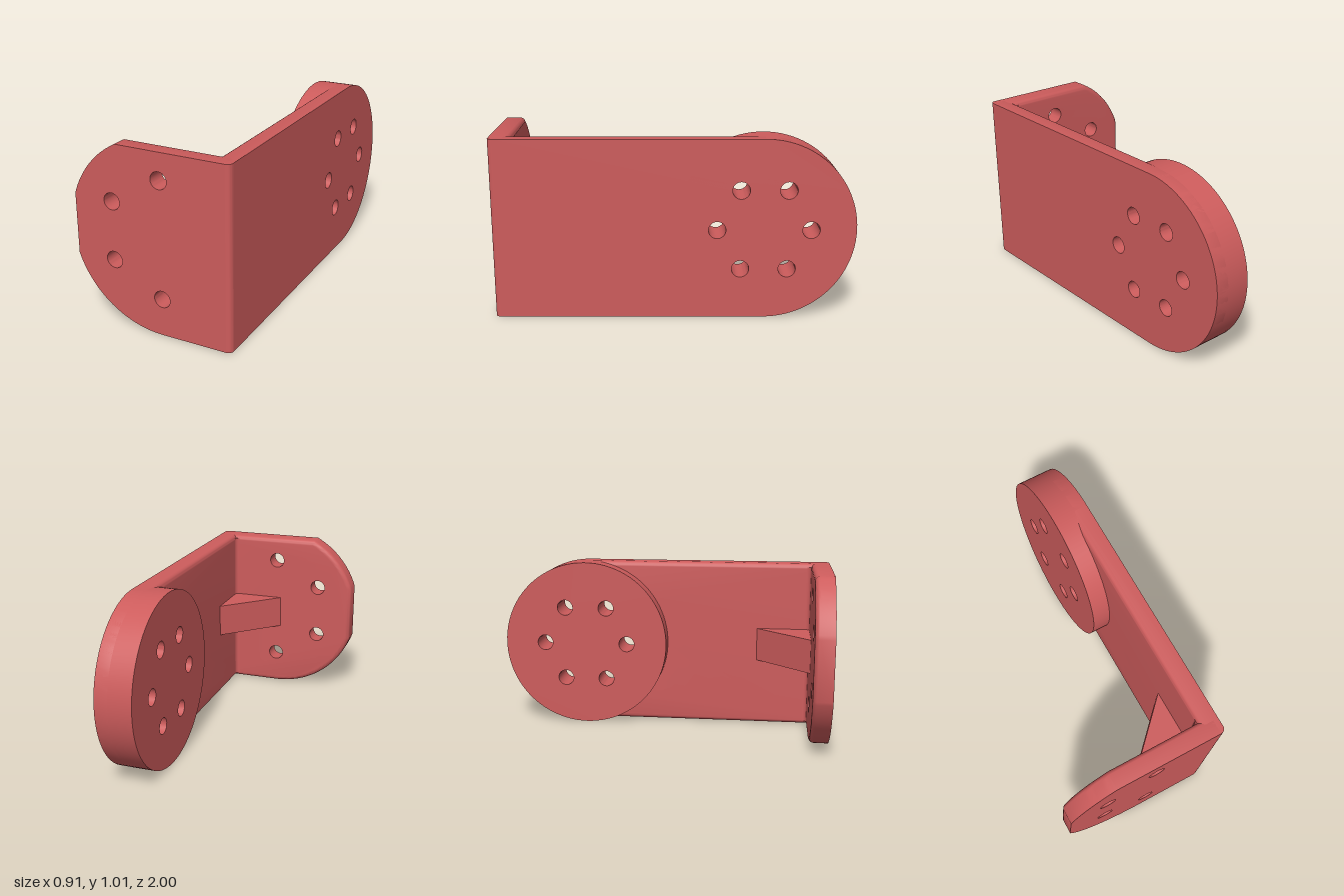
import * as THREE from 'three';
import { mergeGeometries, toCreasedNormals } from 'three/addons/utils/BufferGeometryUtils.js';

const H = 1.013, T = 0.107, ROUND = 0.03;   // height, plate thickness, edge rounding
const X0 = 0.345, X1 = 0.452;               // inner and outer face of the arm
const V = (x, y) => new THREE.Vector2(x, y);

// Points along an arc, ends included
function arc(cx, cy, r, a0, a1, n) {
  return Array.from({ length: n + 1 }, (_, i) => {
    const a = a0 + (a1 - a0) * i / n;
    return V(cx + r * Math.cos(a), cy + r * Math.sin(a));
  });
}

const hole = (cx, cy, r) => arc(cx, cy, r, 0, -2 * Math.PI, 32).slice(0, -1);

function shapeOf(points, holes = []) {
  const s = new THREE.Shape(points);
  s.holes = holes.map(h => new THREE.Path(h));
  return s;
}

// Wall through a stack of closed rings, each { pts, z }
function wall(rings) {
  const pos = [];
  for (let k = 0; k + 1 < rings.length; k++) {
    const A = rings[k], B = rings[k + 1], n = A.pts.length;
    for (let i = 0; i < n; i++) {
      const j = (i + 1) % n;
      const a = [A.pts[i].x, A.pts[i].y, A.z], b = [A.pts[j].x, A.pts[j].y, A.z];
      const c = [B.pts[j].x, B.pts[j].y, B.z], d = [B.pts[i].x, B.pts[i].y, B.z];
      pos.push(...a, ...b, ...c, ...a, ...c, ...d);
    }
  }
  const g = new THREE.BufferGeometry();
  g.setAttribute('position', new THREE.Float32BufferAttribute(pos, 3));
  return g;
}

// Flat plate whose z = 0 face has a rounded rim; outline(inset) gives its contour
function slab(outline, holes, depth) {
  const rings = [];
  for (let k = 0; k <= 6; k++) {
    const a = k / 6 * Math.PI / 2;
    rings.push({ pts: outline(ROUND * (1 - Math.sin(a))), z: ROUND * (1 - Math.cos(a)) });
  }
  rings.push({ pts: outline(0), z: depth });
  const cap = inset => {
    const g = new THREE.ShapeGeometry(shapeOf(outline(inset), holes)).toNonIndexed();
    g.deleteAttribute('uv');
    g.deleteAttribute('normal');
    return g;
  };
  const back = cap(ROUND), p = back.attributes.position;
  for (let i = 0; i < p.count; i += 3) {      // turn the back cap around
    const x = p.getX(i), y = p.getY(i);
    p.setXY(i, p.getX(i + 1), p.getY(i + 1));
    p.setXY(i + 1, x, y);
  }
  const parts = [wall(rings), back, cap(0).translate(0, 0, depth)];
  for (const h of holes) parts.push(wall([{ pts: h, z: 0 }, { pts: h, z: depth }]));
  return toCreasedNormals(mergeGeometries(parts), 0.6);
}

export function createModel() {
  const group = new THREE.Group();
  const material = new THREE.MeshStandardMaterial({ color: 0xcd5c5c });
  const add = (name, geometry) => {
    const mesh = new THREE.Mesh(geometry, material);
    mesh.name = name;
    group.add(mesh);
    return mesh;
  };
  const prism = (points, holes, depth) => toCreasedNormals(new THREE.ExtrudeGeometry(
    shapeOf(points, holes), { depth, bevelEnabled: false }), 0.6);

  // Mounting flange: a circle trimmed on top and on one side
  const cx = 0.053, cy = 0.537, R = 0.537;
  const flangeOutline = r => {
    const q = R - r, side = 0.509 - r, top = H - cy - r;
    const aSide = Math.acos(side / q), aTop = Math.asin(top / q);
    return [V(X1 - ROUND, r), V(X1 - ROUND, H - r),
      ...arc(cx, cy, q, Math.PI - aTop, Math.PI - aSide, 16),
      ...arc(cx, cy, q, Math.PI + aSide, Math.PI * 1.5, 32)];
  };
  const flangeHoles = [90, 150, 210, 270].map(d => {
    const a = THREE.MathUtils.degToRad(d);
    return hole(cx + 0.327 * Math.cos(a), cy + 0.327 * Math.sin(a), 0.047);
  });
  add('mountingFlange', slab(flangeOutline, flangeHoles, 0.11)).position.z = 0.89;

  // Arm with a round end, and the thicker hub disc on it
  const hr = H / 2, hu = 1 - hr;
  const armOutline = r => [V(-1 + ROUND, H - r), V(-1 + ROUND, r),
    ...arc(hu, hr, hr - r, -Math.PI / 2, Math.PI / 2, 48)];
  const hubHoles = Array.from({ length: 6 }, (_, i) =>
    hole(hu + 0.258 * Math.cos(i * Math.PI / 3), hr + 0.258 * Math.sin(i * Math.PI / 3), 0.048));
  const arm = add('arm', slab(armOutline, hubHoles, T));
  arm.rotation.y = Math.PI / 2;
  arm.position.x = X0;

  const hub = add('hubDisc', prism(arc(hu, hr, hr, 0, 2 * Math.PI, 96).slice(0, -1), hubHoles, X1 - 0.238));
  hub.rotation.y = Math.PI / 2;
  hub.position.x = 0.238;

  // Upright pieces drawn in plan as (x, -z)
  const upright = (name, points, y0, y1) => {
    const mesh = add(name, prism(points, [], y1 - y0));
    mesh.rotation.x = -Math.PI / 2;
    mesh.position.y = y0;
  };
  upright('outerCorner', [V(X1 - ROUND, -1 + ROUND),
    ...arc(X1 - ROUND, -1 + ROUND, ROUND, -Math.PI / 2, 0, 8)], 0, H);
  upright('innerFillet', [V(X0, -0.89),
    ...arc(X0 - 0.025, -0.865, 0.025, 0, -Math.PI / 2, 8)], 0.02, H - 0.02);
  upright('gusset', [V(0.025, -0.89), V(X0, -0.89), V(X0, -0.57)], hr - 0.1, hr + 0.1);

  return group;
}
